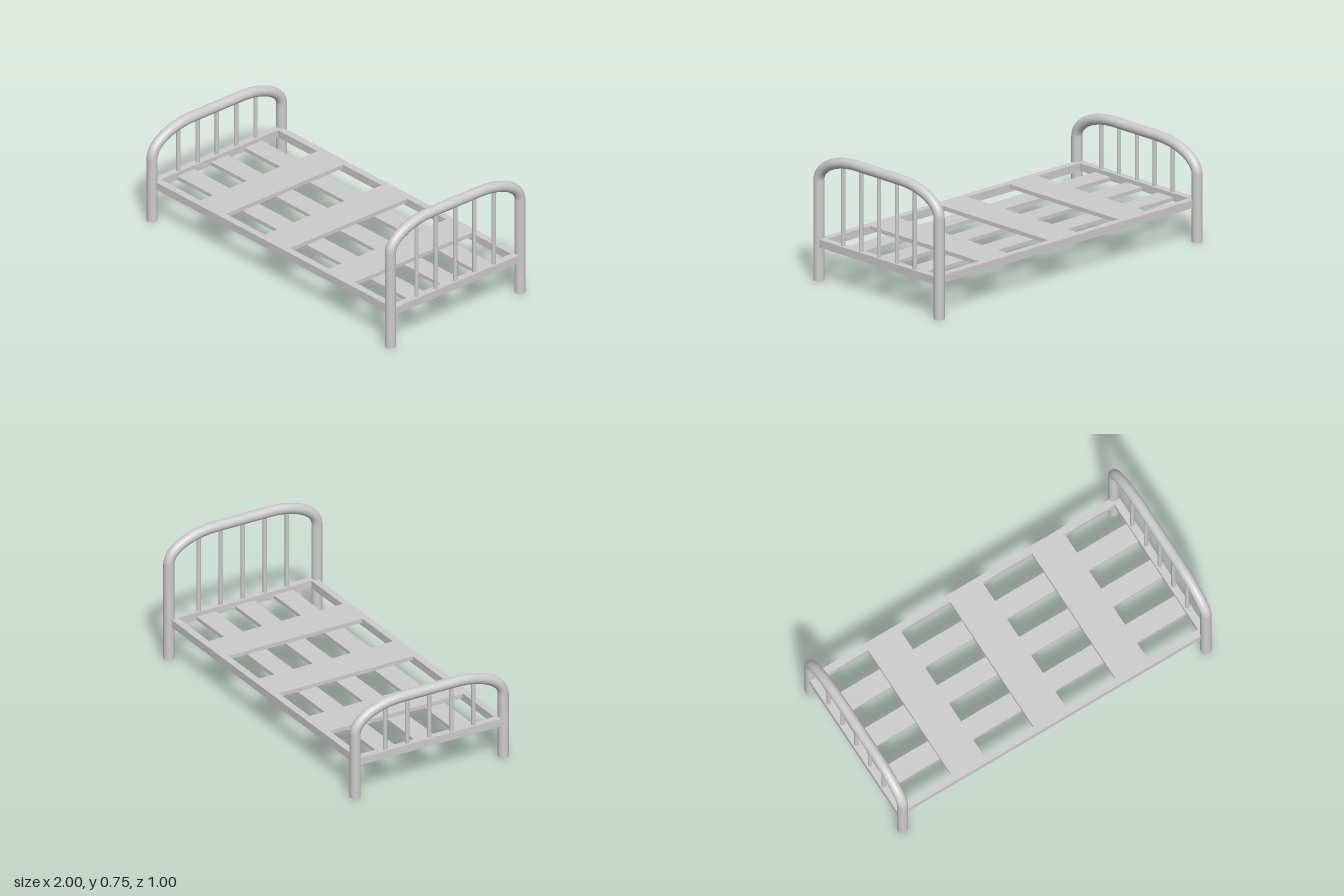
import * as THREE from 'three';

const material = new THREE.MeshStandardMaterial({ color: 0xcccccc });
const TUBE = 0.03, POST_X = 0.97, POST_Z = 0.47, FLAT_Z = 0.17;
const RAIL_LOW = 0.195, RAIL_TOP = 0.24;

function add(parent, name, geometry, x = 0, y = 0, z = 0) {
  const mesh = new THREE.Mesh(geometry, material);
  mesh.name = name;
  mesh.position.set(x, y, z);
  parent.add(mesh);
  return mesh;
}

// Box given by its size in x and z, its bottom and its top
function slab(parent, name, x, z, width, depth, low, high) {
  add(parent, name, new THREE.BoxGeometry(width, high - low, depth), x, (low + high) / 2, z);
}

// Bent tube, two legs and five thin spindles; shoulder is where the bend starts
function endFrame(name, x, shoulder, crown) {
  const group = new THREE.Group();
  group.name = name;
  group.position.x = x;
  const rise = crown - shoulder, run = POST_Z - FLAT_Z, k = 0.5523;

  // Arch: elliptical shoulder, flat crown, elliptical shoulder
  const p = (y, z) => new THREE.Vector3(0, y, z);
  const path = new THREE.CurvePath();
  path.add(new THREE.CubicBezierCurve3(
    p(shoulder, POST_Z), p(shoulder + k * rise, POST_Z), p(crown, FLAT_Z + k * run), p(crown, FLAT_Z)));
  path.add(new THREE.LineCurve3(p(crown, FLAT_Z), p(crown, -FLAT_Z)));
  path.add(new THREE.CubicBezierCurve3(
    p(crown, -FLAT_Z), p(crown, -FLAT_Z - k * run), p(shoulder + k * rise, -POST_Z), p(shoulder, -POST_Z)));
  add(group, 'arch', new THREE.TubeGeometry(path, 72, TUBE, 32, false));

  // Legs
  for (const side of [-1, 1]) {
    add(group, 'leg', new THREE.CylinderGeometry(TUBE, TUBE, shoulder, 32), 0, shoulder / 2, side * POST_Z);
  }

  // Spindles, from the end rail into the arch
  for (let i = -2; i <= 2; i++) {
    const z = i * 0.14;
    const u = Math.max(0, Math.abs(z) - FLAT_Z) / run;
    const top = shoulder + rise * Math.sqrt(1 - u * u);
    const low = RAIL_TOP - 0.02;
    add(group, 'spindle', new THREE.CylinderGeometry(0.012, 0.012, top - low, 20), 0, (top + low) / 2, z);
  }

  // End rail between the legs
  slab(group, 'endRail', 0, 0, 0.042, 2 * POST_Z - 0.02, RAIL_LOW, RAIL_TOP);
  return group;
}

export function createModel() {
  const bed = new THREE.Group();
  bed.name = 'bedFrame';

  bed.add(endFrame('headboard', POST_X, 0.57, 0.72));
  bed.add(endFrame('footboard', -POST_X, 0.38, 0.53));

  // Side rails
  for (const side of [-1, 1]) {
    slab(bed, 'sideRail', 0, side * 0.445, 2 * POST_X, 0.042, RAIL_LOW, RAIL_TOP);
  }

  // Wide cross slats on top, lengthwise slats beneath them
  const middle = 0.217;
  for (let i = -1; i <= 1; i++) {
    slab(bed, 'crossSlat', i * 0.524, 0, 0.208, 0.89, middle, RAIL_TOP);
    slab(bed, 'longSlat', 0, i * 0.245, 2 * POST_X, 0.121, RAIL_LOW, middle);
  }
  return bed;
}
